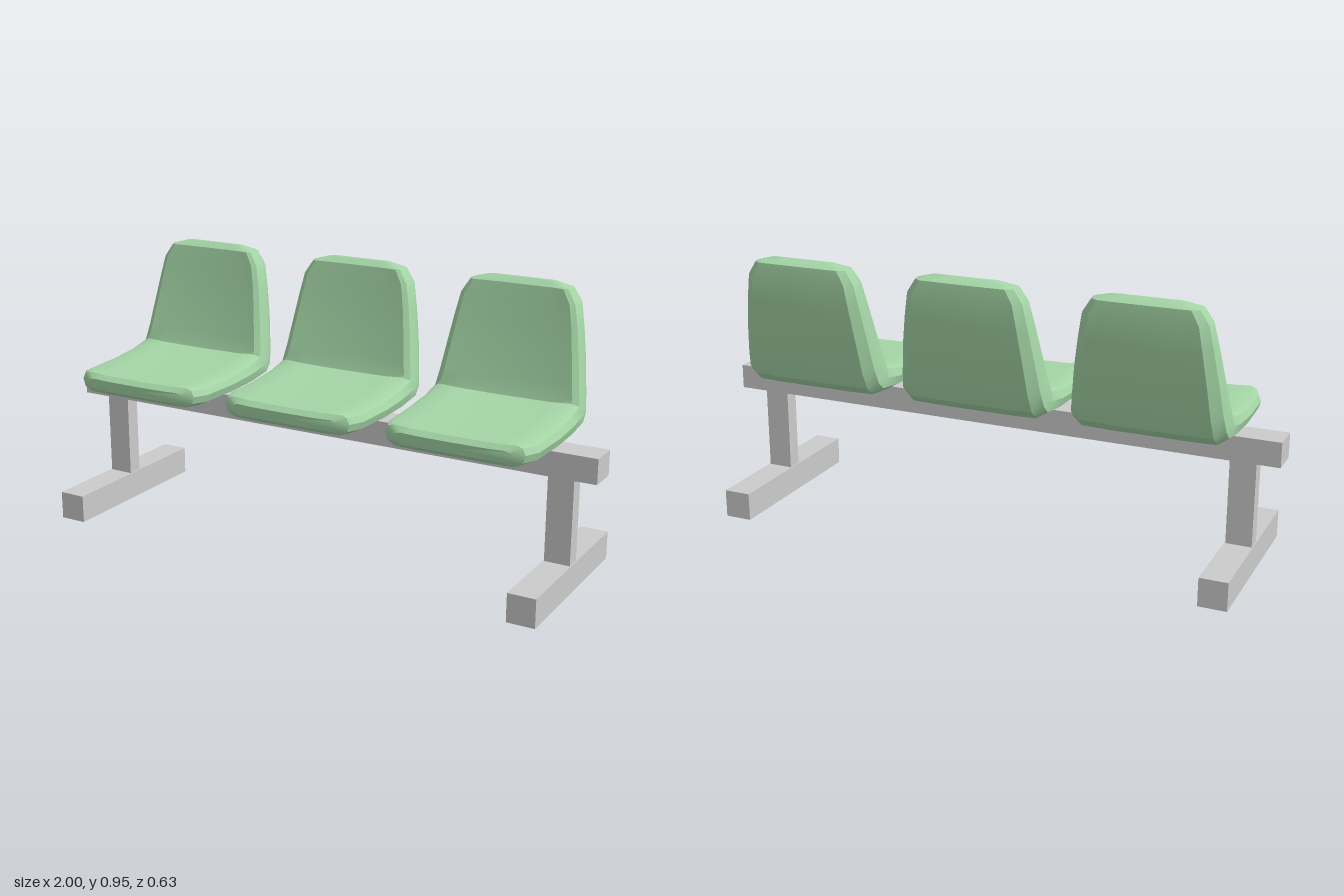
import * as THREE from 'three';
import { toCreasedNormals } from 'three/addons/utils/BufferGeometryUtils.js';

const steel = new THREE.MeshStandardMaterial({ color: 0xcccccc });
const plastic = new THREE.MeshStandardMaterial({ color: 0xa5d6a7 });

// Shell stations from front lip to top of back:
// inner z, inner y, outer z, outer y, half width
const STATIONS = [
  [0.272, 0.535, 0.27, 0.495, 0.2],
  [0.255, 0.553, 0.255, 0.481, 0.238],
  [0.2, 0.552, 0.2, 0.479, 0.26],
  [0.05, 0.555, 0.05, 0.479, 0.267],
  [-0.06, 0.567, -0.08, 0.481, 0.267],
  [-0.13, 0.585, -0.19, 0.492, 0.266],
  [-0.134, 0.6, -0.225, 0.522, 0.264],
  [-0.144, 0.64, -0.243, 0.58, 0.256],
  [-0.165, 0.73, -0.263, 0.7, 0.241],
  [-0.184, 0.82, -0.275, 0.8, 0.225],
  [-0.196, 0.89, -0.283, 0.89, 0.209],
  [-0.206, 0.937, -0.28, 0.937, 0.178],
  [-0.235, 0.954, -0.252, 0.954, 0.118],
];

// Half cross-section: fraction of half width, fraction of thickness (0 inner, 1 outer)
const HALF = [
  [0, 0.08], [0.6, 0.06], [0.88, 0], [0.96, 0.1], [1, 0.4],
  [0.97, 0.75], [0.84, 0.98], [0.5, 1], [0, 1],
];

function seatGeometry() {
  // Full loop: down the -x side, then back up the +x side
  const mirrored = HALF.slice(1, -1).reverse();
  const loop = [...HALF.map(([u, t]) => [-u, t]), ...mirrored];
  const n = loop.length;
  const pos = [];
  const index = [];
  for (const [iz, iy, oz, oy, hw] of STATIONS) {
    for (const [u, t] of loop) {
      pos.push(u * hw, iy + (oy - iy) * t, iz + (oz - iz) * t);
    }
  }
  const last = STATIONS.length - 1;
  for (let i = 0; i < last; i++) {
    for (let j = 0; j < n; j++) {
      const a = i * n + j, b = i * n + (j + 1) % n;
      index.push(a, a + n, b, b, a + n, b + n);
    }
  }
  // Close the front lip and the top edge
  for (const row of [0, last]) {
    const [iz, iy, oz, oy] = STATIONS[row];
    const centre = pos.length / 3;
    pos.push(0, (iy + oy) / 2, (iz + oz) / 2);
    for (let j = 0; j < n; j++) {
      const a = row * n + j, b = row * n + (j + 1) % n;
      if (row === 0) index.push(centre, a, b);
      else index.push(centre, b, a);
    }
  }
  const geo = new THREE.BufferGeometry();
  geo.setAttribute('position', new THREE.Float32BufferAttribute(pos, 3));
  geo.setIndex(index);
  return toCreasedNormals(geo, 0.55);
}

function box(name, w, h, d, x, y) {
  const mesh = new THREE.Mesh(new THREE.BoxGeometry(w, h, d), steel);
  mesh.name = name;
  mesh.position.set(x, y, 0);
  return mesh;
}

export function createModel() {
  const group = new THREE.Group();
  group.name = 'benchSeating';

  // Beam carrying the seats
  group.add(box('beam', 2, 0.085, 0.104, 0, 0.4385));

  // T-shaped legs
  for (const [side, s] of [['left', 1], ['right', -1]]) {
    const leg = new THREE.Group();
    leg.name = side + 'Leg';
    leg.add(box('post', 0.088, 0.3, 0.054, s * 0.873, 0.248));
    leg.add(box('foot', 0.096, 0.098, 0.63, s * 0.873, 0.049));
    group.add(leg);
  }

  // Three moulded seat shells
  const shell = seatGeometry();
  for (const [name, x] of [['rightSeat', -0.605], ['middleSeat', 0], ['leftSeat', 0.605]]) {
    const seat = new THREE.Mesh(shell, plastic);
    seat.name = name;
    seat.position.x = x;
    group.add(seat);
  }
  return group;
}
